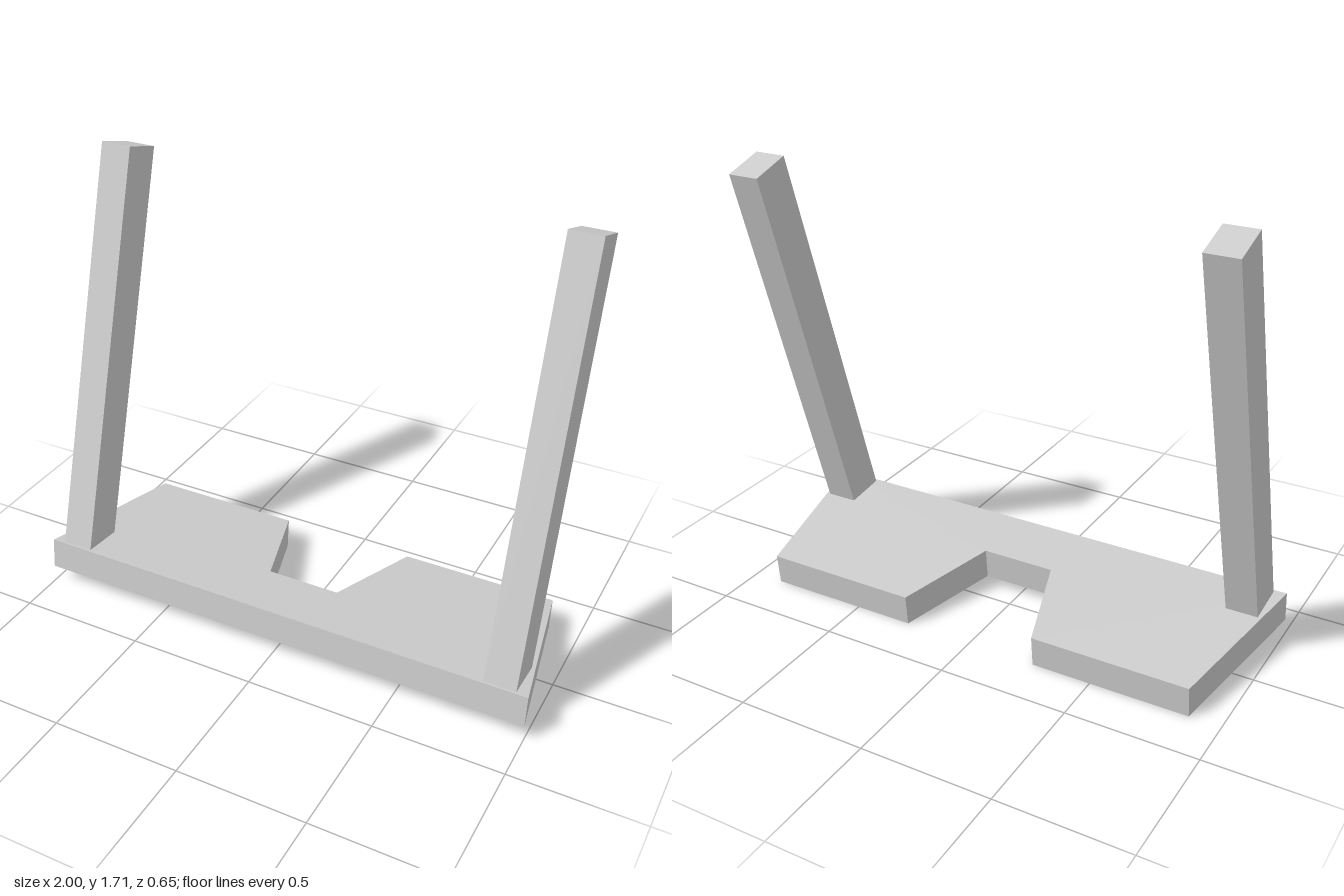
import * as THREE from 'three';

export function createModel() {
  const model = new THREE.Group();
  const material = new THREE.MeshStandardMaterial({ color: 0xcccccc, flatShading: true });

  // Tilted base plate: tapered outline with a trapezoid notch in its back edge
  const tilt = 0.1057, thickness = 0.123, depth = 0.636;
  const outline = [
    [-1, 0], [1, 0], [0.88, depth], [0.27, depth],
    [0.145, 0.248], [-0.145, 0.248], [-0.27, depth], [-0.88, depth],
  ].map(([x, d]) => new THREE.Vector2(x, d));
  const base = new THREE.Mesh(
    new THREE.ExtrudeGeometry(new THREE.Shape(outline), { depth: thickness, bevelEnabled: false }),
    material
  );
  base.name = 'basePlate';
  base.rotation.x = -Math.PI / 2 - tilt;
  base.position.set(0, depth * Math.sin(tilt), 0.325);
  model.add(base);

  // Two square posts leaning back, standing near the front corners
  const lean = 0.298, length = 1.59, width = 0.163;
  for (const side of [-1, 1]) {
    const geometry = new THREE.BoxGeometry(0.123, length, width);
    geometry.translate(0, -length / 2, 0); // pivot at the top end
    const post = new THREE.Mesh(geometry, material);
    post.name = side > 0 ? 'leftPost' : 'rightPost';
    post.rotation.x = -lean;
    post.position.set(side * 0.891, 1.682, -0.243);
    model.add(post);
  }
  return model;
}
